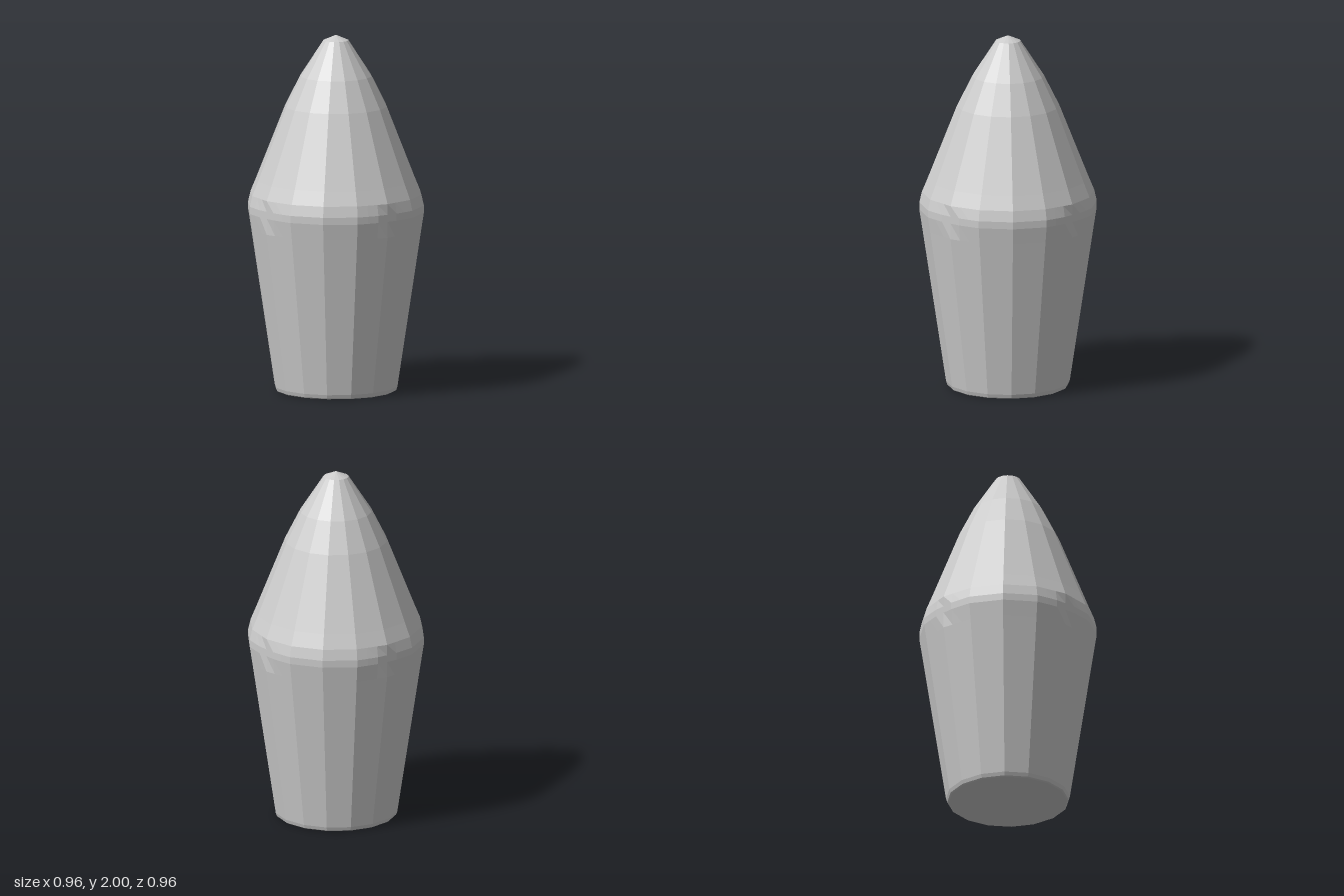
import * as THREE from 'three';

// Radius and height of the body, from the centre of the base to the tip
const PROFILE = [
  [0, 0], [0.33, 0], [0.338, 0.005], [0.345, 0.025],
  [0.48, 0.92], [0.494, 1.01], [0.494, 1.05], [0.48, 1.11], [0.447, 1.19],
  [0.285, 1.6], [0.2, 1.77], [0.07, 1.97], [0, 2],
];
const SIDES = 16;
const FLAT = 0.48; // the widest band is cut flat on its four sides

export function createModel() {
  const group = new THREE.Group();
  group.name = 'pointedBody';

  const points = PROFILE.map(([r, y]) => new THREE.Vector2(r, y));
  const geometry = new THREE.LatheGeometry(points, SIDES * 3);
  const position = geometry.attributes.position;
  const step = (Math.PI * 2) / SIDES;

  // Pull the round section onto a 16-sided one, then trim the four flats
  for (let i = 0; i < position.count; i++) {
    const x = position.getX(i);
    const z = position.getZ(i);
    const angle = Math.atan2(x, z) + Math.PI * 2;
    const offset = (angle + 1e-6) % step - step / 2;
    const k = Math.cos(step / 2) / Math.cos(offset);
    position.setX(i, THREE.MathUtils.clamp(x * k, -FLAT, FLAT));
    position.setZ(i, THREE.MathUtils.clamp(z * k, -FLAT, FLAT));
  }
  geometry.computeVertexNormals();

  const material = new THREE.MeshStandardMaterial({ color: 0xcccccc, flatShading: true });
  const body = new THREE.Mesh(geometry, material);
  body.name = 'body';
  group.add(body);
  return group;
}
